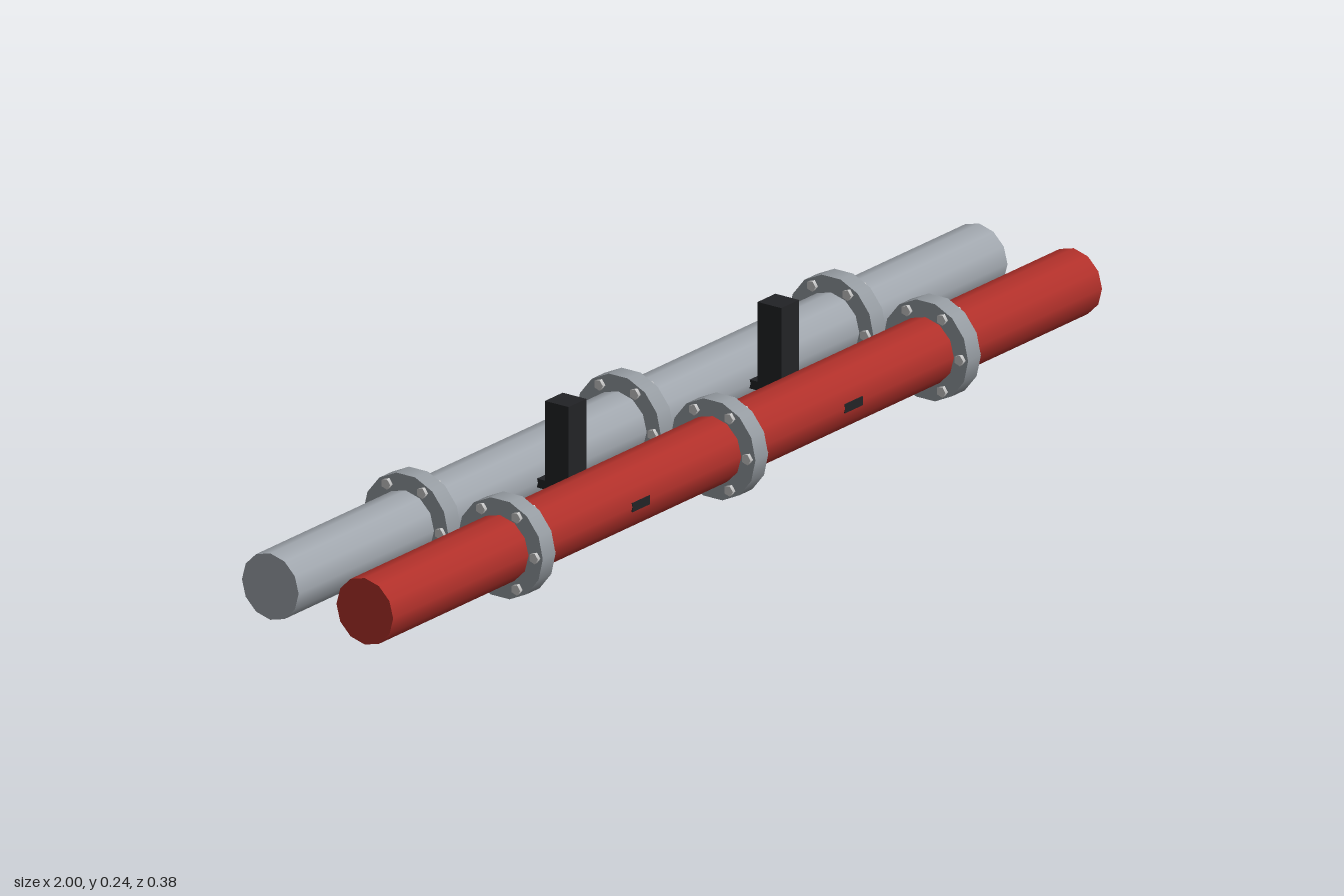
import * as THREE from 'three';

const AXIS_Y = 0.088;

const material = (color) => new THREE.MeshStandardMaterial({ color });

function addMesh(parent, name, geometry, mat, x, y, z) {
  const mesh = new THREE.Mesh(geometry, mat);
  mesh.name = name;
  mesh.position.set(x, y, z);
  parent.add(mesh);
  return mesh;
}

// Cylinder lying along x
const rod = (radius, length, sides) =>
  new THREE.CylinderGeometry(radius, radius, length, sides).rotateZ(Math.PI / 2);

export function createModel() {
  const model = new THREE.Group();
  model.name = 'twinPipes';

  const red = material(0xb0302a);
  const grey = material(0xa0a6ad);
  const steel = material(0x959ba1);
  const boltSteel = material(0xc8cacc);
  const black = material(0x222326);

  const pipeGeometry = rod(0.06, 2, 12);
  const flangeGeometry = rod(0.09, 0.036, 14);
  const boltGeometry = rod(0.01, 0.05, 5);

  // Two parallel pipes, each with three bolted flanges
  for (const [name, z, mat] of [['frontPipe', 0.1, red], ['rearPipe', -0.1, grey]]) {
    const line = new THREE.Group();
    line.name = name + 'Line';
    line.position.set(0, AXIS_Y, z);
    model.add(line);
    addMesh(line, name, pipeGeometry, mat, 0, 0, 0);

    for (const x of [-0.6, 0, 0.6]) {
      const joint = new THREE.Group();
      joint.name = 'flangeJoint';
      joint.position.x = x;
      line.add(joint);
      addMesh(joint, 'flange', flangeGeometry, steel, 0, 0, 0);
      for (let i = 0; i < 6; i++) {
        const a = (i * Math.PI) / 3;
        addMesh(joint, 'bolt', boltGeometry, boltSteel, 0, 0.075 * Math.sin(a), 0.075 * Math.cos(a));
      }
    }
  }

  // Hanger brackets: a crossbar through both pipes and an upright post
  const crossbarGeometry = new THREE.BoxGeometry(0.05, 0.016, 0.32);
  const postGeometry = new THREE.BoxGeometry(0.05, 0.152, 0.05);
  for (const x of [-0.3, 0.3]) {
    const bracket = new THREE.Group();
    bracket.name = 'hangerBracket';
    bracket.position.x = x;
    model.add(bracket);
    addMesh(bracket, 'crossbar', crossbarGeometry, black, 0, 0.087, 0);
    addMesh(bracket, 'post', postGeometry, black, 0, 0.163, 0);
  }

  return model;
}
